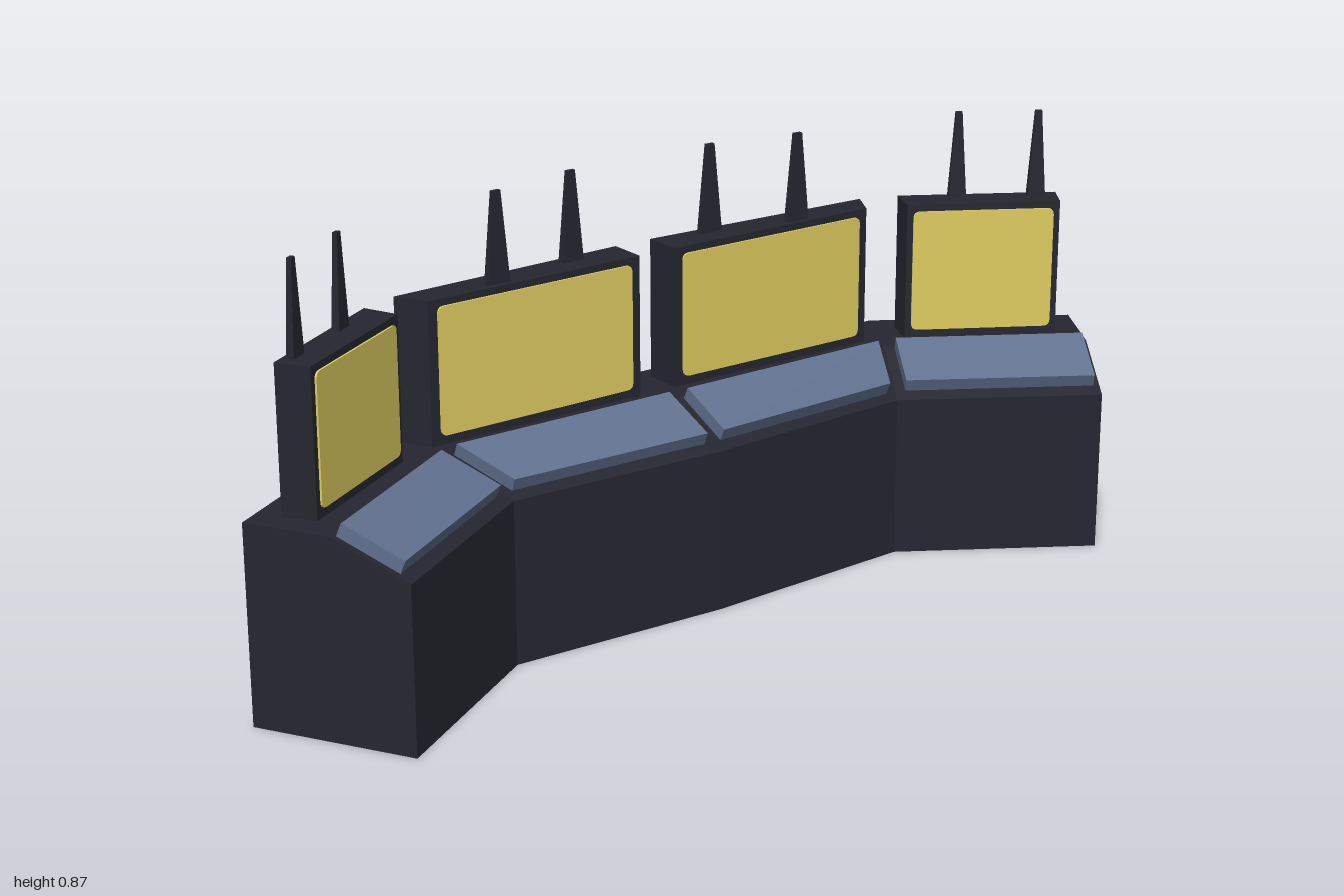
import * as THREE from 'three';
import { ConvexGeometry } from 'three/addons/geometries/ConvexGeometry.js';

const V = (x, y, z) => new THREE.Vector3(x, y, z);
const DESK_Y = 0.4, LIP_Y = 0.335, SCREEN_Y = 0.69;

// Plan of the curved desk: back and front [x, z] from the middle to one end
const HALF = [
  { back: [-0.267, 0], front: [0.063, 0] },
  { back: [-0.245, 0.63], front: [0.042, 0.468] },
  { back: [-0.02, 1], front: [0.267, 0.828] },
];
const flip = ([x, z]) => [x, -z];
const STATIONS = [
  ...HALF.slice(1).reverse().map((s) => ({ back: flip(s.back), front: flip(s.front) })),
  ...HALF,
];

// Screen footprints for one half: back and front edges, inner end first
const SCREENS = [
  { back: [[-0.228, 0.042], [-0.206, 0.565]], front: [[-0.147, 0.042], [-0.142, 0.53]], inset: 0.02,
    antennas: [[-0.199, 0.168], [-0.163, 0.362]], width: 0.05 },
  { back: [[-0.178, 0.645], [-0.003, 0.93]], front: [[-0.11, 0.614], [0.055, 0.89]], inset: 0.013,
    antennas: [[-0.1, 0.74], [-0.012, 0.882]], width: 0.038 },
];

// Cross-section of the desk: upright back, flat shelf, sloping front
function section({ back: [bx, bz], front: [fx, fz] }) {
  const mx = bx + (fx - bx) * 0.525, mz = bz + (fz - bz) * 0.525;
  return [V(bx, 0, bz), V(fx, 0, fz), V(fx, LIP_Y, fz), V(mx, DESK_Y, mz), V(bx, DESK_Y, bz)];
}

// Desk body lofted through the sections, with both ends closed
function deskGeometry(rings) {
  const pts = [];
  const tri = (...p) => p.forEach((v) => pts.push(v));
  for (let i = 0; i < rings.length - 1; i++) {
    const a = rings[i], b = rings[i + 1];
    for (let j = 0; j < 5; j++) {
      const k = (j + 1) % 5;
      tri(a[j], a[k], b[k]);
      tri(a[j], b[k], b[j]);
    }
  }
  const first = rings[0], last = rings[rings.length - 1];
  for (let j = 1; j < 4; j++) {
    tri(first[0], first[j + 1], first[j]);
    tri(last[0], last[j], last[j + 1]);
  }
  const g = new THREE.BufferGeometry().setFromPoints(pts);
  g.computeVertexNormals();
  return g;
}

// Keyboard slab raised from the slope between two sections
function slabGeometry(a, b, u0, u1) {
  const at = (u, v) => a[3].clone().lerp(a[2], v).lerp(b[3].clone().lerp(b[2], v), u);
  const normal = b[3].clone().sub(a[3]).cross(a[2].clone().sub(a[3])).normalize();
  if (normal.y < 0) normal.negate();
  const base = [at(u0, 0.04), at(u1, 0.04), at(u1, 0.83), at(u0, 0.83)];
  const top = base.map((p) => p.clone().addScaledVector(normal, 0.028));
  return new ConvexGeometry([...base.map((p) => p.clone().addScaledVector(normal, -0.004)), ...top]);
}

// Thin display plate with rounded corners
function displayGeometry(w, h, r) {
  const x = w / 2, y = h / 2;
  const s = new THREE.Shape();
  s.moveTo(-x + r, -y).lineTo(x - r, -y).quadraticCurveTo(x, -y, x, -y + r);
  s.lineTo(x, y - r).quadraticCurveTo(x, y, x - r, y);
  s.lineTo(-x + r, y).quadraticCurveTo(-x, y, -x, y - r);
  s.lineTo(-x, -y + r).quadraticCurveTo(-x, -y, -x + r, -y);
  return new THREE.ExtrudeGeometry(s, { depth: 0.004, bevelEnabled: false, curveSegments: 4 });
}

// Flat tapered antenna
function antennaGeometry(width) {
  const pts = [];
  for (const [y, w, t] of [[0, width, 0.016], [0.183, width * 0.36, 0.009]])
    for (const sx of [-1, 1]) for (const sz of [-1, 1]) pts.push(V(sx * t / 2, y, sz * w / 2));
  return new ConvexGeometry(pts);
}

export function createModel() {
  const group = new THREE.Group();
  const material = (name, color) => {
    const m = new THREE.MeshStandardMaterial({ color });
    m.name = name;
    return m;
  };
  const casing = material('darkCasing', 0x262631);
  const blue = material('slateBlue', 0x61718f);
  const yellow = material('screenYellow', 0xdfcd60);
  const add = (name, geometry, mat) => {
    const mesh = new THREE.Mesh(geometry, mat);
    mesh.name = name;
    group.add(mesh);
    return mesh;
  };

  // Desk and keyboard slabs
  const rings = STATIONS.map(section);
  add('desk', deskGeometry(rings), casing);
  const spans = [[0.03, 0.95], [0.05, 0.96], [0.04, 0.95], [0.05, 0.97]];
  spans.forEach(([u0, u1], i) => add('keyboardSlab', slabGeometry(rings[i], rings[i + 1], u0, u1), blue));

  // Screens, displays and antennas on both halves
  for (const side of [1, -1]) {
    for (const s of SCREENS) {
      const corners = [];
      for (const [x, z] of [...s.back, ...s.front])
        corners.push(V(x, DESK_Y - 0.002, z * side), V(x, SCREEN_Y, z * side));
      add('screenCase', new ConvexGeometry(corners), casing);

      // Display faces out from the front of the case
      const ends = s.front.map(([x, z]) => V(x, 0, z * side)).sort((p, q) => q.z - p.z);
      const right = ends[1].clone().sub(ends[0]);
      const w = right.length() - 2 * s.inset;
      right.normalize();
      const up = V(0, 1, 0), out = right.clone().cross(up);
      const display = add('display', displayGeometry(w, 0.257, 0.014), yellow);
      display.quaternion.setFromRotationMatrix(new THREE.Matrix4().makeBasis(right, up, out));
      display.position.copy(ends[0]).lerp(ends[1], 0.5).setY(0.547);

      const [p, q] = s.back;
      for (const [x, z] of s.antennas) {
        const antenna = add('antenna', antennaGeometry(s.width), casing);
        antenna.position.set(x, SCREEN_Y - 0.001, z * side);
        antenna.rotation.y = side * Math.atan2(q[0] - p[0], q[1] - p[1]);
      }
    }
  }
  return group;
}
